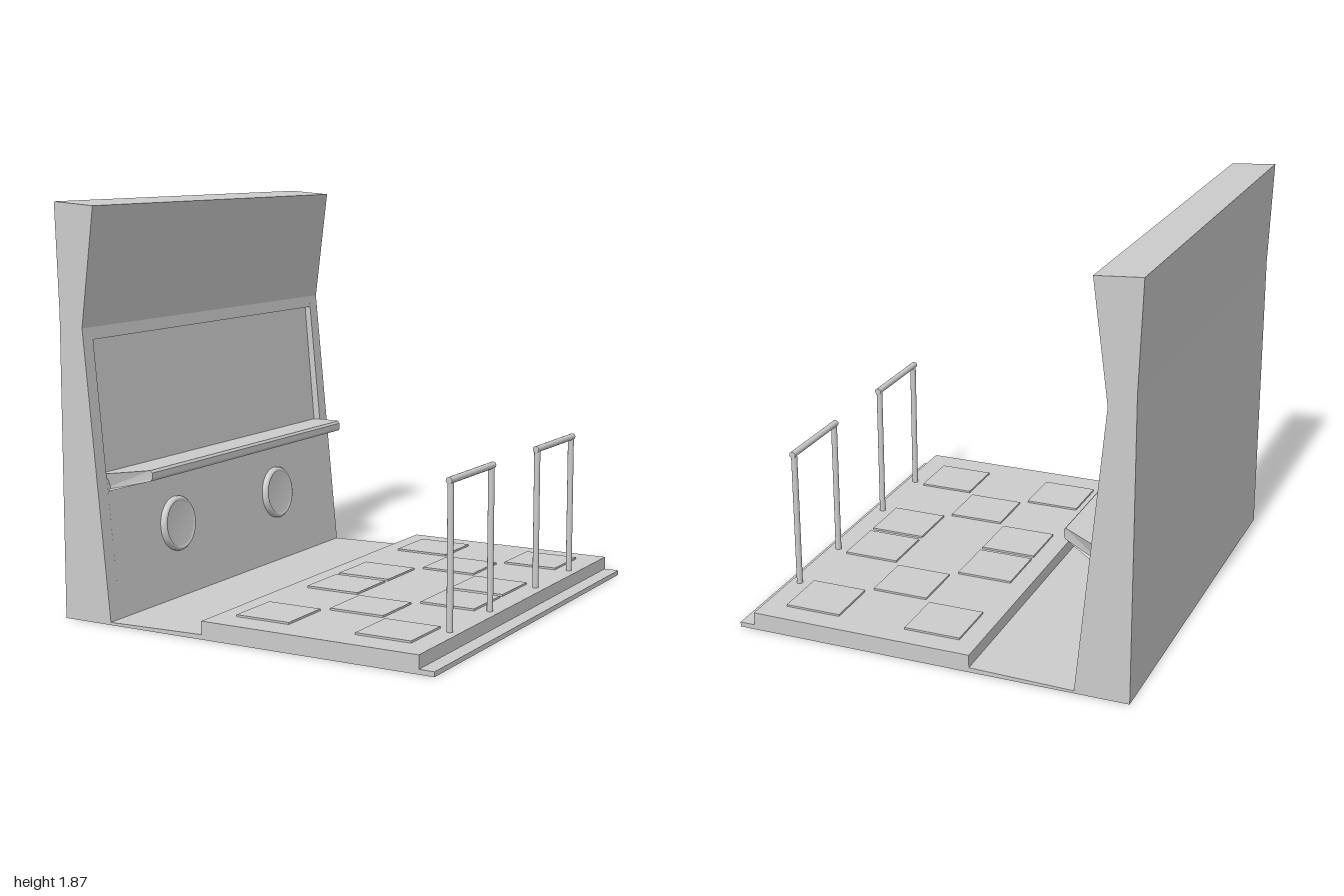
import * as THREE from 'three';

const material = new THREE.MeshStandardMaterial({ color: 0xcccccc });

function add(parent, name, geometry, x = 0, y = 0, z = 0) {
  const mesh = new THREE.Mesh(geometry, material);
  mesh.name = name;
  mesh.position.set(x, y, z);
  parent.add(mesh);
  return mesh;
}

// Extrude an x-y outline between two z values
function slab(points, z0, z1) {
  const shape = new THREE.Shape(points.map(([x, y]) => new THREE.Vector2(x, y)));
  return new THREE.ExtrudeGeometry(shape, { depth: z1 - z0, bevelEnabled: false }).translate(0, 0, z0);
}

// Shelf with mitred ends: each profile point carries its own half-length
function shelfGeometry() {
  const profile = [ // x, y, half-length; counter-clockwise seen from +z
    [-0.775, 0.585, 0.93], [-0.732, 0.585, 0.93], [-0.565, 0.63, 0.835], [-0.558, 0.642, 0.83],
    [-0.558, 0.668, 0.83], [-0.568, 0.679, 0.835], [-0.735, 0.665, 0.93], [-0.775, 0.662, 0.93],
  ];
  const n = profile.length;
  const positions = [];
  const corner = (i, side) => {
    const [x, y, h] = profile[i % n];
    return [x, y, h * side];
  };
  for (let i = 0; i < n; i++) {
    const a = corner(i, 1), b = corner(i, -1), c = corner(i + 1, -1), d = corner(i + 1, 1);
    positions.push(...a, ...b, ...c, ...a, ...c, ...d);
  }
  for (let i = 1; i < n - 1; i++) {
    positions.push(...corner(0, 1), ...corner(i, 1), ...corner(i + 1, 1));
    positions.push(...corner(0, -1), ...corner(i + 1, -1), ...corner(i, -1));
  }
  const geometry = new THREE.BufferGeometry();
  geometry.setAttribute('position', new THREE.Float32BufferAttribute(positions, 3));
  geometry.computeVertexNormals();
  return geometry;
}

export function createModel() {
  const model = new THREE.Group();
  model.name = 'danceCabinet';

  // Upright cabinet: full-section cheeks with a recessed screen between them
  const back = [[-0.73, 1.85], [-0.94, 1.865], [-0.922, 1.38], [-0.922, 0]];
  const cheek = [[-0.672, 0], [-0.8, 1.315], ...back];
  const recessed = [[-0.672, 0], [-0.734, 0.64], [-0.77, 0.64], [-0.825, 1.26], [-0.795, 1.26],
    [-0.8, 1.315], ...back];
  const cabinet = new THREE.Group();
  cabinet.name = 'cabinet';
  model.add(cabinet);
  add(cabinet, 'leftCheek', slab(cheek, 0.93, 1));
  add(cabinet, 'rightCheek', slab(cheek, -1, -0.93));
  add(cabinet, 'screenSection', slab(recessed, -0.93, 0.93));

  // Control shelf below the screen
  add(model, 'controlShelf', shelfGeometry());

  // Round speakers lying flush on the sloping lower front
  const speakerProfile = [[0, 0.018], [0.104, 0.018], [0.11, 0.026], [0.12, 0.024], [0.128, 0.014], [0.128, -0.02]]
    .map(([r, y]) => new THREE.Vector2(r, y)).reverse();
  for (const side of [1, -1]) {
    const speaker = add(model, 'speaker', new THREE.LatheGeometry(speakerProfile, 48), -0.706, 0.355, side * 0.438);
    speaker.rotation.z = -Math.PI / 2 + 0.097;
  }

  // Sloping floor, raised stage and front ledge
  add(model, 'stage', slab([[-0.68, 0], [0.936, 0], [0.936, 0.022], [0.865, 0.022], [0.865, 0.082],
    [-0.19, 0.082], [-0.19, 0.022], [-0.68, 0.012]], -1, 1));

  // Step pads, two layouts of five
  const pads = [];
  for (const x of [0.035, 0.625]) for (const z of [-0.755, -0.16, 0.135, 0.73]) pads.push([x, z]);
  for (const z of [-0.46, 0.433]) pads.push([0.33, z]);
  for (const [x, z] of pads) add(model, 'stepPad', new THREE.BoxGeometry(0.265, 0.02, 0.265), x, 0.081, z);

  // Hand rails
  for (const z of [0.432, -0.453]) {
    const rail = new THREE.Group();
    rail.name = 'handRail';
    rail.position.set(0.818, 0, z);
    model.add(rail);
    for (const side of [1, -1]) {
      add(rail, 'railPost', new THREE.CylinderGeometry(0.014, 0.014, 0.66, 16), 0, 0.4, side * 0.197);
    }
    add(rail, 'railBar', new THREE.CylinderGeometry(0.015, 0.015, 0.43, 16), 0, 0.731, 0).rotation.x = Math.PI / 2;
  }

  return model;
}
